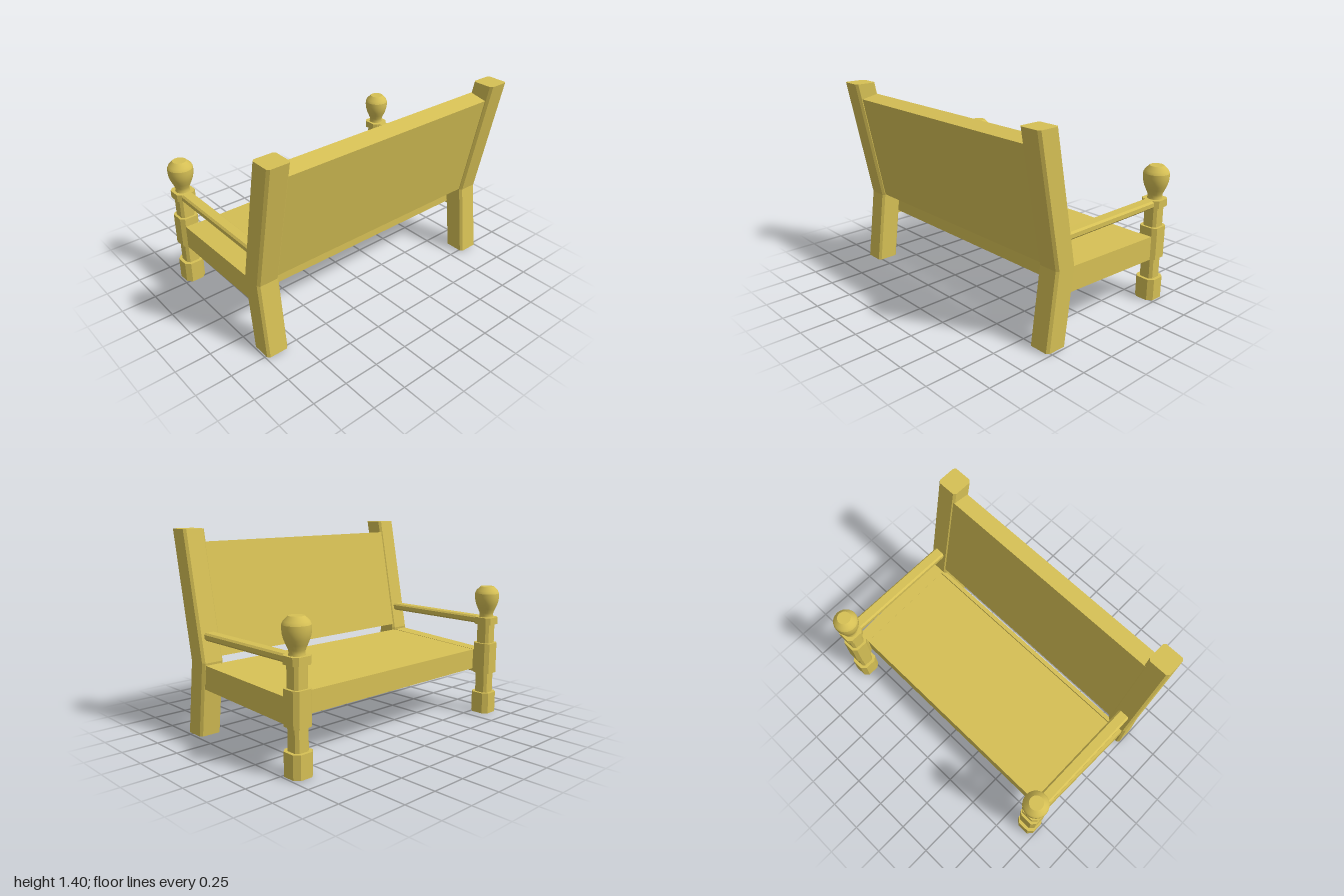
import * as THREE from 'three';

const wood = new THREE.MeshStandardMaterial({ color: 0xd6c055, flatShading: true });
const smoothWood = new THREE.MeshStandardMaterial({ color: 0xd6c055, side: THREE.DoubleSide });

function add(parent, name, geometry, material = wood) {
  const mesh = new THREE.Mesh(geometry, material);
  mesh.name = name;
  parent.add(mesh);
  return mesh;
}

// Upright bar with a chamfered w x d section, passing through [x, y] levels
function chamferedBar(w, d, c, levels) {
  const a = w / 2, b = d / 2;
  const section = new THREE.Shape([
    [a, c - b], [a, b - c], [a - c, b], [c - a, b],
    [-a, b - c], [-a, c - b], [c - a, -b], [a - c, -b],
  ].map(([x, y]) => new THREE.Vector2(x, y)));
  const steps = levels.length - 1;
  const geo = new THREE.ExtrudeGeometry(section, { depth: steps, steps, bevelEnabled: false });
  geo.rotateX(-Math.PI / 2);
  const p = geo.attributes.position;
  for (let i = 0; i < p.count; i++) {
    const [x, y] = levels[Math.round(p.getY(i))];
    p.setX(i, p.getX(i) + x);
    p.setY(i, y);
  }
  geo.computeVertexNormals();
  return geo;
}

// Side profile in x/y, extruded from z0 to z1
function slab(points, z0, z1) {
  const shape = new THREE.Shape(points.map(([x, y]) => new THREE.Vector2(x, y)));
  const geo = new THREE.ExtrudeGeometry(shape, { depth: z1 - z0, bevelEnabled: false });
  return geo.translate(0, 0, z0);
}

function frontPost() {
  const post = new THREE.Group();
  post.name = 'frontPost';
  // name, width, chamfer, bottom, top
  const blocks = [
    ['foot', 0.15, 0.032, 0, 0.155],
    ['shaft', 0.104, 0.018, 0.15, 0.70],
    ['joint', 0.14, 0.026, 0.305, 0.533],
    ['collar', 0.14, 0.026, 0.675, 0.727],
  ];
  for (const [name, w, c, y0, y1] of blocks) {
    add(post, name, chamferedBar(w, w, c, [[0, y0], [0, y1]]));
  }
  // Turned finial: rounded bulb with a sharp-edged cap
  const bulb = [
    [0.052, 0.725], [0.048, 0.74], [0.051, 0.76], [0.064, 0.79],
    [0.077, 0.82], [0.085, 0.85], [0.088, 0.88], [0.087, 0.905],
  ];
  const lathe = (pts) => new THREE.LatheGeometry(pts.map(([x, y]) => new THREE.Vector2(x, y)), 24);
  add(post, 'finialBulb', lathe(bulb), smoothWood);
  add(post, 'finialShoulder', lathe([[0.087, 0.905], [0.078, 0.925], [0.048, 0.955]]), smoothWood);
  add(post, 'finialTop', lathe([[0.048, 0.955], [0, 0.955]]), smoothWood);
  return post;
}

export function createModel() {
  const bench = new THREE.Group();
  bench.name = 'bench';

  for (const side of [-1, 1]) {
    const label = side > 0 ? 'left' : 'right';

    const post = frontPost();
    post.name = label + 'FrontPost';
    post.position.set(-0.558, 0, side * 0.911);
    bench.add(post);

    // Bent rear post forming the leg and back support
    const rear = add(bench, label + 'RearPost',
      chamferedBar(0.158, 0.158, 0.016, [[0.455, 0.01], [0.388, 0.53], [0.559, 1.4]]));
    rear.position.z = side * 0.915;

    // Chamfered arm rail
    const arm = chamferedBar(0.052, 0.085, 0.012, [[0, -0.43], [0, 0.43]]);
    arm.rotateZ(-Math.PI / 2);
    const rail = add(bench, label + 'ArmRail', arm);
    rail.position.set(-0.07, 0.701, side * 0.915);

    // Side apron, splayed slightly outwards to the rear
    const z = [0.862, 0.955];
    const apron = slab([[-0.5, 0.305], [0.34, 0.35], [0.34, 0.516], [-0.5, 0.473]],
      side > 0 ? z[0] : -z[1], side > 0 ? z[1] : -z[0]);
    const p = apron.attributes.position;
    for (let i = 0; i < p.count; i++) {
      if (p.getX(i) > 0 && Math.abs(p.getZ(i)) > 0.9) p.setZ(i, side * 0.975);
    }
    apron.computeVertexNormals();
    add(bench, label + 'Apron', apron);
  }

  // Seat rising gently to the rear, with a narrow strip behind a thin gap
  add(bench, 'seat', slab([[-0.485, 0.325], [0.29, 0.367], [0.29, 0.511], [-0.485, 0.472]], -0.865, 0.865));
  add(bench, 'seatRearStrip', slab([[0.296, 0.367], [0.325, 0.369], [0.325, 0.511], [0.296, 0.509]], -0.865, 0.865));

  // Leaning backrest panel
  add(bench, 'backrest', slab([[0.323, 0.56], [0.448, 0.535], [0.595, 1.29], [0.47, 1.315]], -0.85, 0.85));

  return bench;
}
